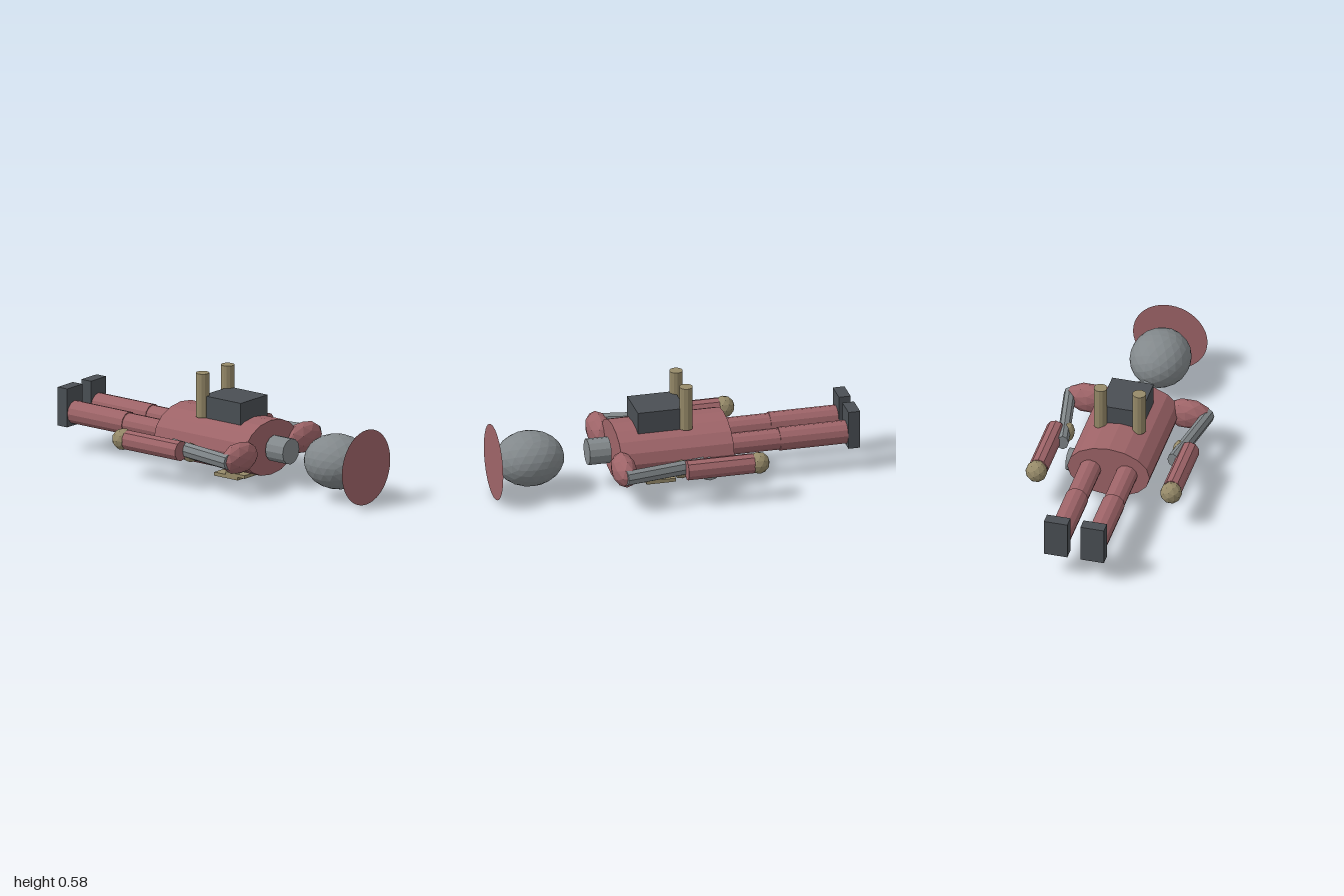
import * as THREE from 'three';

const paint = (color) => new THREE.MeshStandardMaterial({ color, flatShading: true });

export function createModel() {
  const root = new THREE.Group();
  const red = paint(0x9e6468), grey = paint(0x82888b), tan = paint(0x968a69), dark = paint(0x4a4f54);

  const add = (name, geometry, material, x, y, z) => {
    const mesh = new THREE.Mesh(geometry, material);
    mesh.name = name;
    mesh.position.set(x, y, z);
    root.add(mesh);
    return mesh;
  };
  // cylinder lying along z, with an elliptical section
  const rod = (rx, ry, length, sides) =>
    new THREE.CylinderGeometry(1, 1, length, sides).rotateX(Math.PI / 2).scale(rx, ry, 1);
  // faceted ball with separate radii
  const ball = (rx, ry, rz, detail) => new THREE.IcosahedronGeometry(1, detail).scale(rx, ry, rz);

  // head, halo disc and neck
  add('head', ball(0.166, 0.15, 0.19, 3), grey, 0, 0.21, 0.8);
  const halo = add('halo', new THREE.CircleGeometry(0.208, 40), red.clone(), 0, 0.21, 1);
  halo.material.side = THREE.DoubleSide;
  add('neck', rod(0.072, 0.072, 0.12, 12), grey, 0, 0.21, 0.42);

  // body, back pack and chest plates
  add('torso', rod(0.23, 0.152, 0.625, 16), red, 0, 0.21, 0.03);
  add('backPack', new THREE.BoxGeometry(0.232, 0.13, 0.265), dark, 0, 0.395, 0.093);
  add('upperChestPlate', new THREE.BoxGeometry(0.13, 0.018, 0.13), tan, 0, 0.034, 0.145);
  add('lowerChestPlate', new THREE.BoxGeometry(0.13, 0.02, 0.163), tan, 0, 0.018, 0.082);

  // canister on the left hip
  add('hipCanister', new THREE.CylinderGeometry(0.062, 0.062, 0.075, 12).rotateZ(Math.PI / 2),
    grey, 0.225, 0.148, -0.14);

  for (const s of [1, -1]) {
    const side = s > 0 ? 'left' : 'right';
    // exhaust post
    add(side + 'BackPost', new THREE.CylinderGeometry(0.037, 0.037, 0.245, 12), tan, s * 0.108, 0.4625, -0.045);

    // arm
    add(side + 'Shoulder', ball(0.137, 0.087, 0.067, 1), red, s * 0.275, 0.21, 0.345);
    const upperArm = add(side + 'UpperArm', rod(0.033, 0.043, 0.455, 8), grey, s * 0.348, 0.21, 0.135);
    upperArm.rotation.y = s * 0.175;
    add(side + 'Elbow', ball(0.036, 0.055, 0.055, 1), tan, s * 0.311, 0.195, 0.033);
    add(side + 'Forearm', rod(0.053, 0.056, 0.37, 10), red, s * 0.374, 0.213, -0.165);
    add(side + 'Hand', ball(0.06, 0.06, 0.06, 1), tan, s * 0.376, 0.213, -0.38);

    // leg
    add(side + 'Thigh', rod(0.06, 0.058, 0.33, 12), red, s * 0.102, 0.213, -0.405);
    add(side + 'Shin', rod(0.064, 0.064, 0.38, 12), red, s * 0.102, 0.213, -0.75);
    add(side + 'Boot', new THREE.BoxGeometry(0.131, 0.215, 0.065), dark, s * 0.102, 0.247, -0.9675);
  }
  return root;
}
